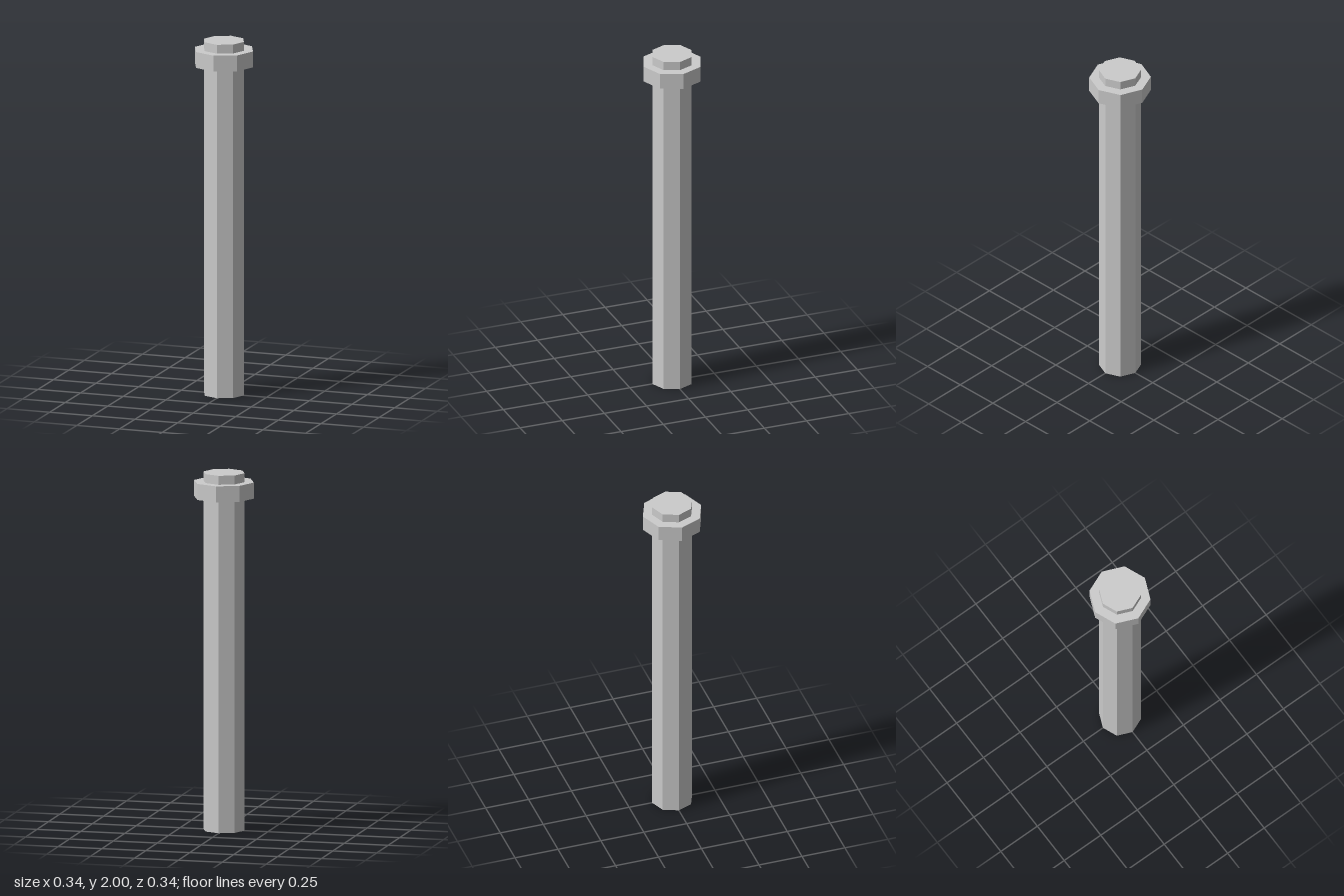
import * as THREE from 'three';

const SIDES = 8;

export function createModel() {
  const group = new THREE.Group();
  group.name = 'collaredPost';
  const material = new THREE.MeshStandardMaterial({ color: 0xcccccc, flatShading: true });

  // Upright octagonal prism with corners on the x and z axes
  const addPrism = (name, radius, bottom, top) => {
    const height = top - bottom;
    const mesh = new THREE.Mesh(new THREE.CylinderGeometry(radius, radius, height, SIDES), material);
    mesh.name = name;
    mesh.position.y = bottom + height / 2;
    group.add(mesh);
  };

  addPrism('shaft', 0.117, 0, 2);
  addPrism('collar', 0.17, 1.86, 1.95);

  return group;
}
